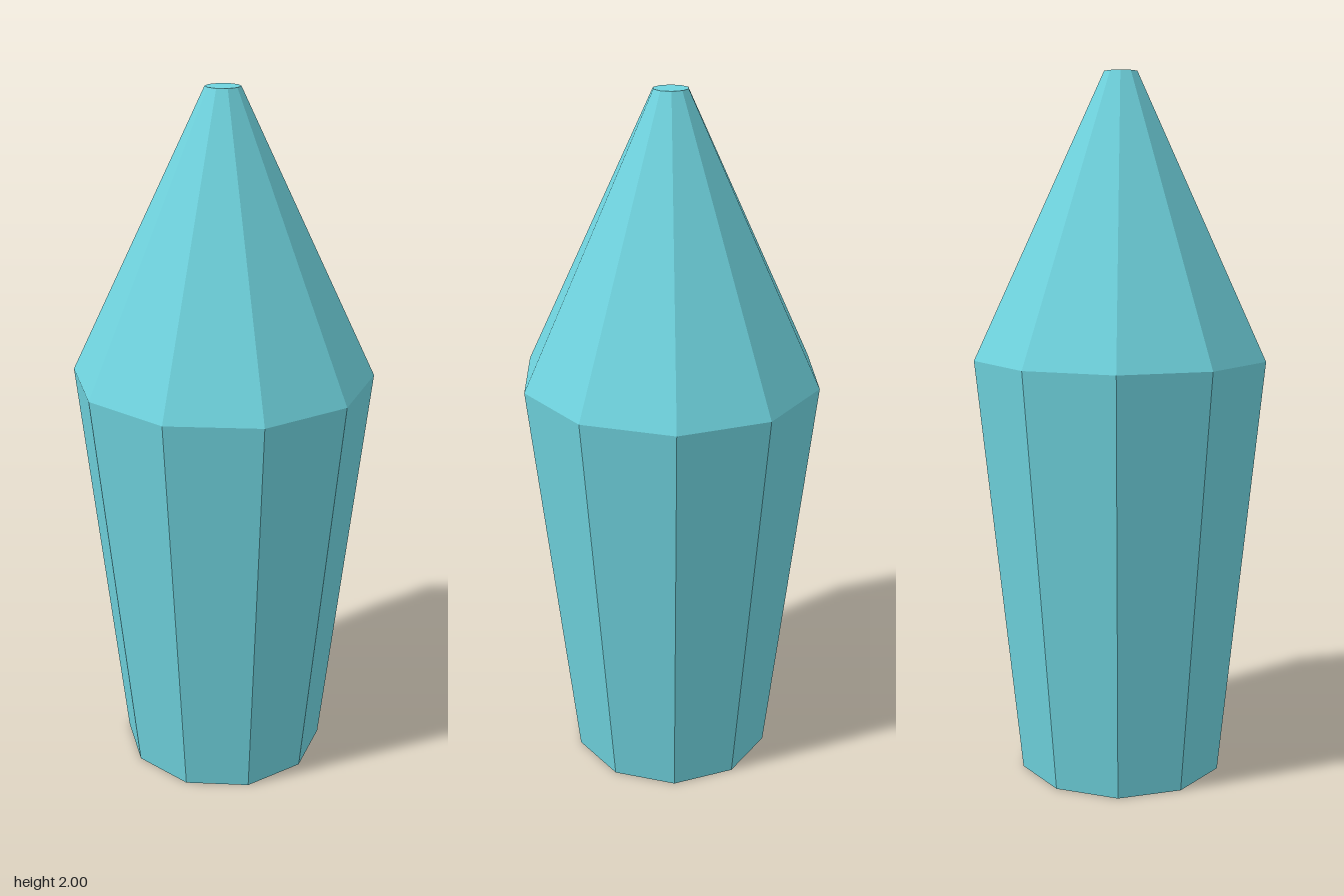
import * as THREE from 'three';

export function createModel() {
  const model = new THREE.Group();
  model.name = 'crystal';

  const crystalBlue = new THREE.MeshStandardMaterial({ color: 0x6fd3de });
  crystalBlue.name = 'crystalBlue';

  const SIDES = 10;
  const rings = { base: [0, 0.3], shoulder: [1.21, 0.425], tip: [2, 0.048] }; // [height, radius]

  // One faceted frustum between two rings, keeping only the outer cap
  function addFrustum(name, [y0, r0], [y1, r1], capY, capRadius, capTilt) {
    const part = new THREE.Group();
    part.name = name;
    // toNonIndexed + computeVertexNormals gives one flat normal per facet
    const wall = new THREE.CylinderGeometry(r1, r0, y1 - y0, SIDES, 1, true).toNonIndexed();
    wall.translate(0, (y0 + y1) / 2, 0);
    wall.computeVertexNormals();
    const walls = new THREE.Mesh(wall, crystalBlue);
    walls.name = name + 'Facets';

    // Corners of the cap line up with the facets, one on the z axis
    const cap = new THREE.CircleGeometry(capRadius, SIDES, Math.PI / 2);
    cap.rotateX(capTilt);
    cap.translate(0, capY, 0);
    const end = new THREE.Mesh(cap, crystalBlue);
    end.name = name + 'End';

    part.add(walls, end);
    model.add(part);
  }

  // Body widening upward, closed underneath
  addFrustum('body', rings.base, rings.shoulder, rings.base[0], rings.base[1], Math.PI / 2);
  // Tapering point with a small flat tip
  addFrustum('point', rings.shoulder, rings.tip, rings.tip[0], rings.tip[1], -Math.PI / 2);

  return model;
}
